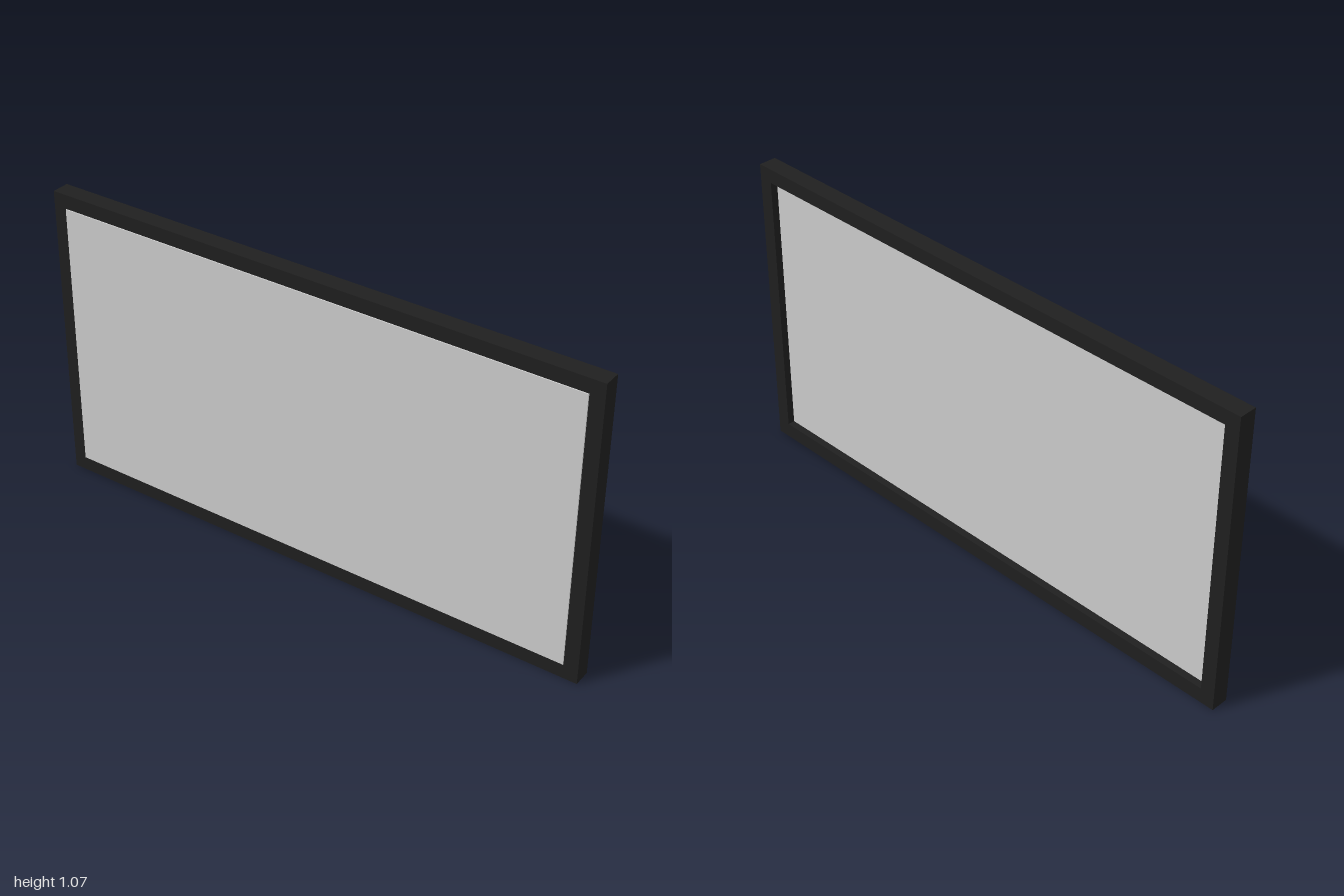
import * as THREE from 'three';

const HEIGHT = 1.07, LENGTH = 2, BORDER = 0.05;
const BACK = -0.03, FRONT = 0.0325; // frame faces along x

export function createModel() {
  const group = new THREE.Group();
  const dark = new THREE.MeshStandardMaterial({ color: 0x1f1f1f });
  const grey = new THREE.MeshStandardMaterial({ color: 0xcccccc });

  const addBox = (name, material, [x0, x1], [y0, y1], [z0, z1]) => {
    const mesh = new THREE.Mesh(new THREE.BoxGeometry(x1 - x0, y1 - y0, z1 - z0), material);
    mesh.position.set((x0 + x1) / 2, (y0 + y1) / 2, (z0 + z1) / 2);
    mesh.name = name;
    group.add(mesh);
  };

  // Frame: full-length rails with posts between them
  const depth = [BACK, FRONT], half = LENGTH / 2;
  const low = BORDER + 0.004, high = HEIGHT - BORDER;
  addBox('bottomRail', dark, depth, [0, low], [-half, half]);
  addBox('topRail', dark, depth, [high, HEIGHT], [-half, half]);
  addBox('frontPost', dark, depth, [low, high], [half - BORDER, half]);
  addBox('backPost', dark, depth, [low, high], [-half, BORDER - half]);

  // Panel: recessed on the +x side, slightly proud on the -x side
  addBox('panel', grey, [-0.034, 0.007], [low, high], [BORDER - half, half - BORDER]);

  return group;
}
